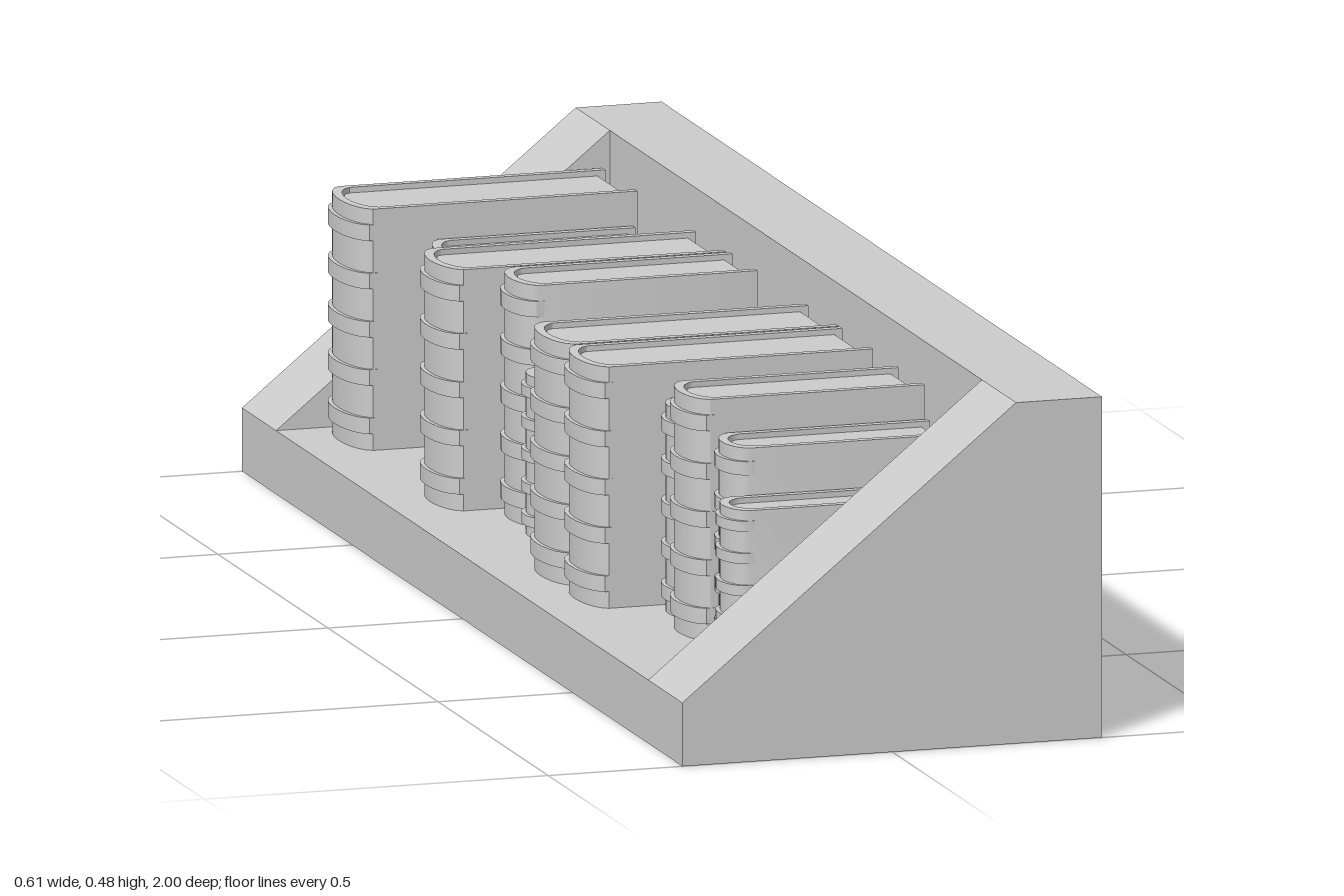
import * as THREE from 'three';
import { toCreasedNormals } from 'three/addons/utils/BufferGeometryUtils.js';

const grey = new THREE.MeshStandardMaterial({ color: 0xcccccc });
const FLOOR = 0.09, BACK = 0.18, HALF = 0.305, TOP = 0.483, INNER = 0.845;

function addMesh(parent, name, geometry, x = 0, y = 0, z = 0) {
  const mesh = new THREE.Mesh(geometry, grey);
  mesh.name = name;
  mesh.position.set(x, y, z);
  parent.add(mesh);
  return mesh;
}

// Extrude a plan shape (x, z) straight up, keeping crisp edges
function extrudeUp(shape, height) {
  const g = new THREE.ExtrudeGeometry(shape, { depth: height, bevelEnabled: false, curveSegments: 10 });
  return toCreasedNormals(g.rotateX(-Math.PI / 2), 0.6);
}

// Outline of a rounded spine and its two boards, wrapped around the pages
function coverShape(spine, back, half, thick) {
  const edge = spine + 0.028, ctrl = spine - 0.018, inner = half - thick;
  const s = new THREE.Shape();
  s.moveTo(back, -half);
  s.lineTo(back, -inner);
  s.lineTo(edge + thick, -inner);
  s.bezierCurveTo(ctrl + thick + 0.012, -inner * 0.8, ctrl + thick + 0.012, inner * 0.8, edge + thick, inner);
  s.lineTo(back, inner);
  s.lineTo(back, half);
  s.lineTo(edge, half);
  s.bezierCurveTo(ctrl + 0.012, half * 0.8, ctrl + 0.012, -half * 0.8, edge, -half);
  s.closePath();
  return s;
}

// Page block that fills the inside of the cover
function pageShape(spine, back, half) {
  const edge = spine + 0.034;
  const s = new THREE.Shape();
  s.moveTo(back, -half);
  s.lineTo(back, half);
  s.lineTo(edge, half);
  s.quadraticCurveTo(spine + 0.004, 0, edge, -half);
  s.closePath();
  return s;
}

function makeBook({ z0, z1, spine, top, back = 0.168 }) {
  const book = new THREE.Group();
  book.name = 'book';
  const half = (z1 - z0) / 2 - 0.002, height = top - FLOOR, thick = 0.012;
  addMesh(book, 'cover', extrudeUp(coverShape(spine, back, half, thick), height));
  addMesh(book, 'pages', extrudeUp(pageShape(spine, back - 0.012, half - thick + 0.001), height - 0.016), 0, 0.008);
  // Raised bands across the spine
  const band = coverShape(spine - 0.006, spine + 0.034, half + 0.001, thick);
  const bandGeometry = extrudeUp(band, height * 0.066);
  for (let i = 0; i < 5; i++) {
    addMesh(book, 'spineBand', bandGeometry, 0, height * (0.07 + i * 0.2));
  }
  book.position.set(0, FLOOR, (z0 + z1) / 2);
  return book;
}

export function createModel() {
  const model = new THREE.Group();
  model.name = 'bookRack';

  // Base and thick back wall
  addMesh(model, 'base', new THREE.BoxGeometry(2 * HALF, FLOOR, 2 * INNER), 0, FLOOR / 2);
  addMesh(model, 'backWall', new THREE.BoxGeometry(HALF - BACK, TOP - FLOOR, 2 * INNER),
    (HALF + BACK) / 2, (TOP + FLOOR) / 2);

  // Sloping end walls
  const profile = new THREE.Shape([
    [-HALF, 0], [HALF, 0], [HALF, TOP], [BACK, TOP], [-HALF, FLOOR],
  ].map(([x, y]) => new THREE.Vector2(x, y)));
  const endGeometry = new THREE.ExtrudeGeometry(profile, { depth: 1 - INNER, bevelEnabled: false });
  for (const z of [-1, INNER]) addMesh(model, 'endWall', endGeometry, 0, 0, z);

  // Row of books: start, end, spine position, top height, fore-edge position
  const rows = [
    [-0.84, -0.68, -0.244, 0.432, 0.168],
    [-0.68, -0.527, -0.15, 0.384, 0.16],
    [-0.527, -0.42, -0.15, 0.384, 0.16],
    [-0.42, -0.27, -0.244, 0.432, 0.165],
    [-0.27, -0.14, -0.174, 0.432, 0.17],
    [-0.14, -0.047, -0.182, 0.318, 0.175],
    [-0.047, 0.08, -0.195, 0.384, 0.168],
    [0.08, 0.235, -0.244, 0.432, 0.168],
    [0.235, 0.39, -0.244, 0.432, 0.168],
    [0.39, 0.5, -0.15, 0.384, 0.165],
    [0.5, 0.632, -0.174, 0.432, 0.165],
    [0.632, 0.74, -0.15, 0.384, 0.168],
    [0.74, 0.838, -0.182, 0.318, 0.175],
  ];
  const books = new THREE.Group();
  books.name = 'books';
  for (const [z0, z1, spine, top, back] of rows) books.add(makeBook({ z0, z1, spine, top, back }));
  model.add(books);
  return model;
}
